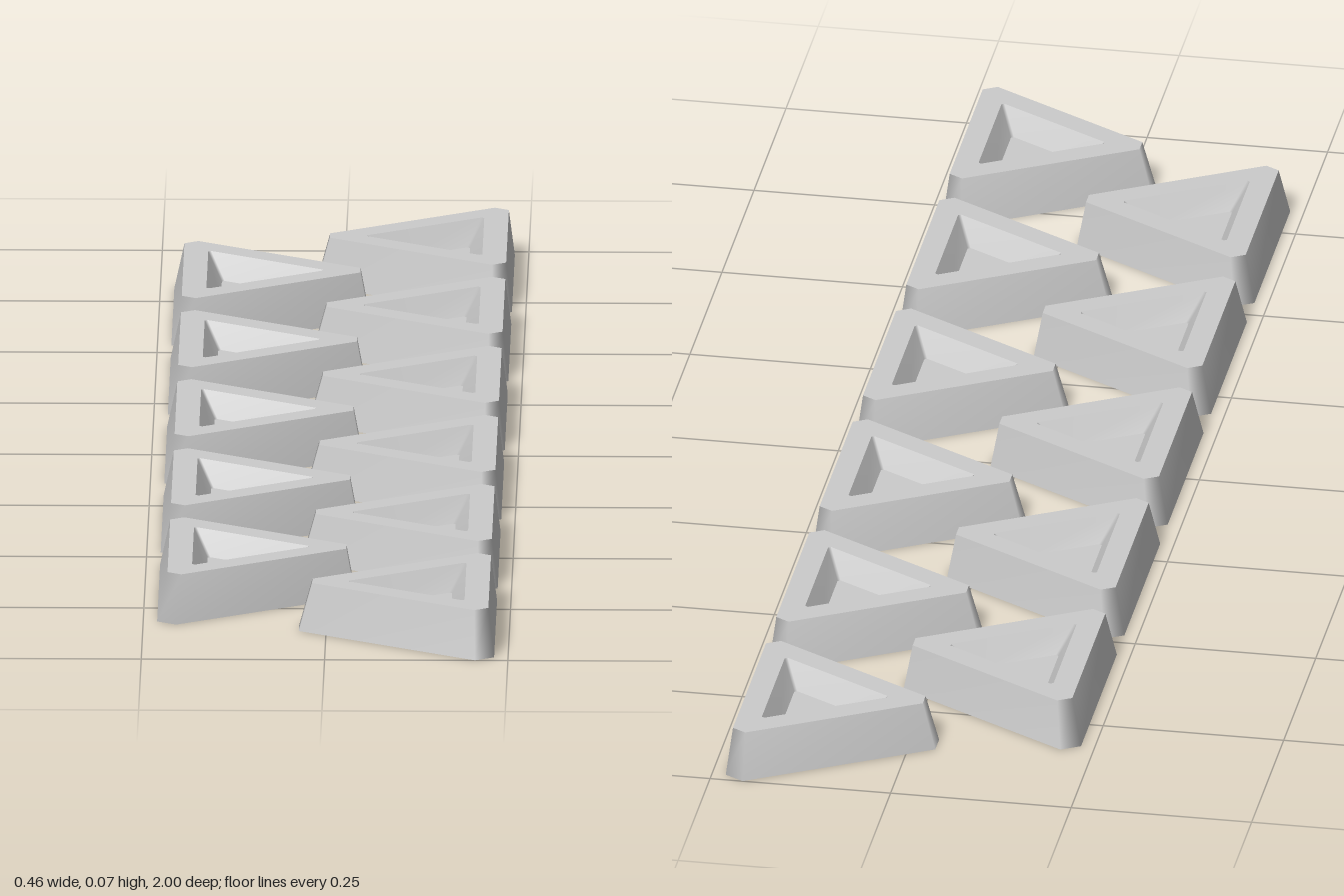
import * as THREE from 'three';
import { mergeGeometries } from 'three/addons/utils/BufferGeometryUtils.js';

const ROW_X = 0.133, PITCH = 0.338, HEIGHT = 0.067;

// Equilateral triangle with clipped corners, one corner pointing along +x.
// side = distance from centre to each side, tip = distance to each clipped corner.
function ring(side, tip, y, shift = 0) {
  const half = (2 * side - tip) * Math.tan(Math.PI / 6);
  const points = [];
  for (let i = 0; i < 3; i++) {
    const a = (i * 2 * Math.PI) / 3;
    for (const s of [-half, half]) {
      points.push([
        tip * Math.cos(a) - s * Math.sin(a) + shift, y,
        tip * Math.sin(a) + s * Math.cos(a),
      ]);
    }
  }
  return points;
}

// Band of quads from one ring to the next, smooth around, sharp at its borders
function band(from, to) {
  const index = [];
  const n = from.length;
  for (let i = 0; i < n; i++) {
    const j = (i + 1) % n;
    index.push(i, n + i, j, j, n + i, n + j);
  }
  return finish([...from, ...to], index);
}

// Flat cap over a ring
function cap(points, up) {
  const index = [];
  for (let i = 1; i < points.length - 1; i++) {
    index.push(0, ...(up ? [i + 1, i] : [i, i + 1]));
  }
  return finish(points, index);
}

function finish(points, index) {
  const geometry = new THREE.BufferGeometry();
  geometry.setAttribute('position', new THREE.Float32BufferAttribute(points.flat(), 3));
  geometry.setIndex(index);
  geometry.computeVertexNormals();
  return geometry;
}

// Tapered triangular block with a sloping recess in its top
function blockGeometry(shift) {
  const base = ring(0.098, 0.17, 0);
  const top = ring(0.087, 0.155, HEIGHT, shift);
  const opening = ring(0.054, 0.104, HEIGHT, shift);
  const floor = ring(0.035, 0.066, HEIGHT - 0.033, shift);
  return mergeGeometries([
    cap(base, false),
    band(base, top),
    band(top, opening),
    band(opening, floor),
    cap(floor, true),
  ]);
}

export function createModel() {
  const model = new THREE.Group();
  model.name = 'triangleStrip';
  const material = new THREE.MeshStandardMaterial({ color: 0xcccccc });

  // Two interlocking rows: six blocks pointing right, five pointing left
  const rows = [
    { name: 'leftRow', count: 6, x: ROW_X, turn: Math.PI, shift: -0.003 },
    { name: 'rightRow', count: 5, x: -ROW_X, turn: 0, shift: 0.003 },
  ];
  for (const { name, count, x, turn, shift } of rows) {
    const row = new THREE.Group();
    row.name = name;
    const geometry = blockGeometry(shift);
    for (let i = 0; i < count; i++) {
      const block = new THREE.Mesh(geometry, material);
      block.name = 'triangleBlock';
      block.position.set(x, 0, (i - (count - 1) / 2) * PITCH);
      block.rotation.y = turn;
      row.add(block);
    }
    model.add(row);
  }
  return model;
}
